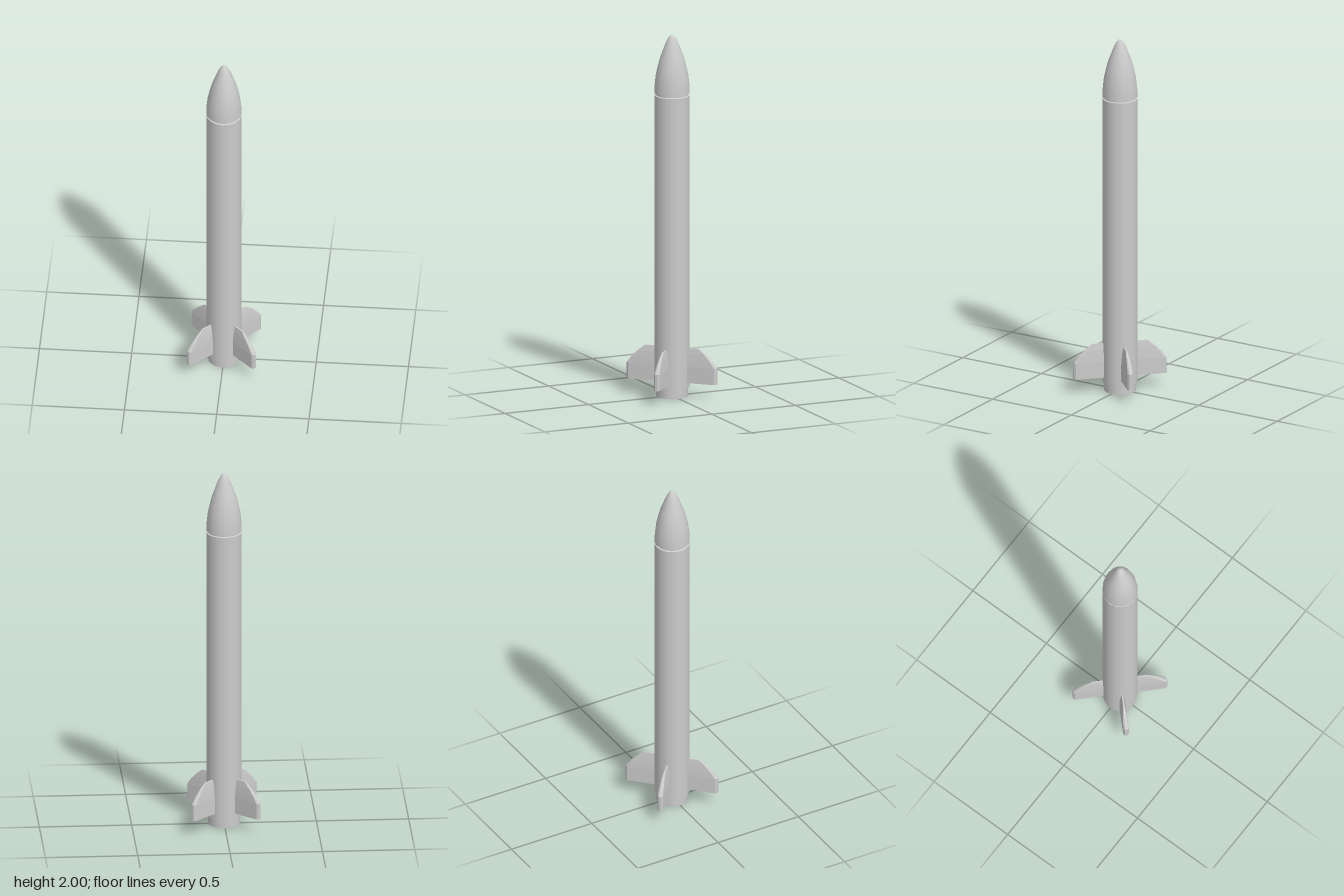
import * as THREE from 'three';

const SIDES = 16;
const smooth = new THREE.MeshStandardMaterial({ color: 0xcccccc });
const faceted = new THREE.MeshStandardMaterial({ color: 0xcccccc, flatShading: true });

// Turned surface; the profile runs from bottom to top with the outside on its right
function turned(name, profile) {
  const points = profile.map(([r, y]) => new THREE.Vector2(r, y));
  const mesh = new THREE.Mesh(new THREE.LatheGeometry(points, SIDES), smooth);
  mesh.name = name;
  return mesh;
}

// Turned part with a hard edge at every profile point
function creased(name, profile) {
  const part = new THREE.Group();
  part.name = name;
  for (let i = 0; i + 1 < profile.length; i++) {
    part.add(turned(name + 'Band' + (i + 1), [profile[i], profile[i + 1]]));
  }
  return part;
}

// Tapered fin: stacked cross-sections, thinner and shorter towards the top
function finGeometry() {
  const levels = [ // height, outer reach, half thickness
    [0.08, 0.258, 0.016],
    [0.17, 0.257, 0.015],
    [0.205, 0.23, 0.0125],
    [0.24, 0.195, 0.009],
    [0.272, 0.155, 0.004],
  ];
  const pos = [];
  const index = [];
  for (const [y, reach, t] of levels) {
    const inner = 0.07;
    const shoulder = reach - 0.7 * t;
    pos.push(inner, y, t, shoulder, y, t, reach, y, 0.45 * t);
    pos.push(reach, y, -0.45 * t, shoulder, y, -t, inner, y, -t);
  }
  const n = 6;
  for (let k = 0; k + 1 < levels.length; k++) {
    for (let i = 0; i < n; i++) {
      const a = k * n + i;
      const b = k * n + (i + 1) % n;
      index.push(a, b, b + n, a, b + n, a + n);
    }
  }
  const top = (levels.length - 1) * n;
  for (let i = 1; i + 1 < n; i++) {
    index.push(0, i + 1, i, top, top + i, top + i + 1);
  }
  const geometry = new THREE.BufferGeometry();
  geometry.setAttribute('position', new THREE.Float32BufferAttribute(pos, 3));
  geometry.setIndex(index);
  const flat = geometry.toNonIndexed();
  flat.computeVertexNormals();
  return flat;
}

export function createModel() {
  const rocket = new THREE.Group();
  rocket.name = 'rocket';

  // Narrower tail ring with a recessed end
  rocket.add(creased('tailRing', [
    [0, 0.03], [0.08, 0.03], [0.08, 0], [0.087, 0], [0.087, 0.05],
  ]));

  // Long body tube, with a shallow groove below the nose
  rocket.add(creased('bodyTube', [
    [0.08, 0.05], [0.095, 0.05], [0.095, 1.665], [0.087, 1.668], [0.087, 1.678], [0.096, 1.678],
  ]));

  // Rounded nose cone
  rocket.add(turned('noseCone', [
    [0.096, 1.678], [0.0945, 1.72], [0.088, 1.78], [0.077, 1.83], [0.065, 1.875],
    [0.05, 1.915], [0.035, 1.955], [0.02, 1.985], [0.01, 1.996], [0, 2],
  ]));

  // Four fins on the diagonals
  const geometry = finGeometry();
  for (let i = 0; i < 4; i++) {
    const fin = new THREE.Mesh(geometry, faceted);
    fin.name = 'fin' + (i + 1);
    fin.rotation.y = Math.PI / 4 + i * Math.PI / 2;
    rocket.add(fin);
  }
  return rocket;
}
